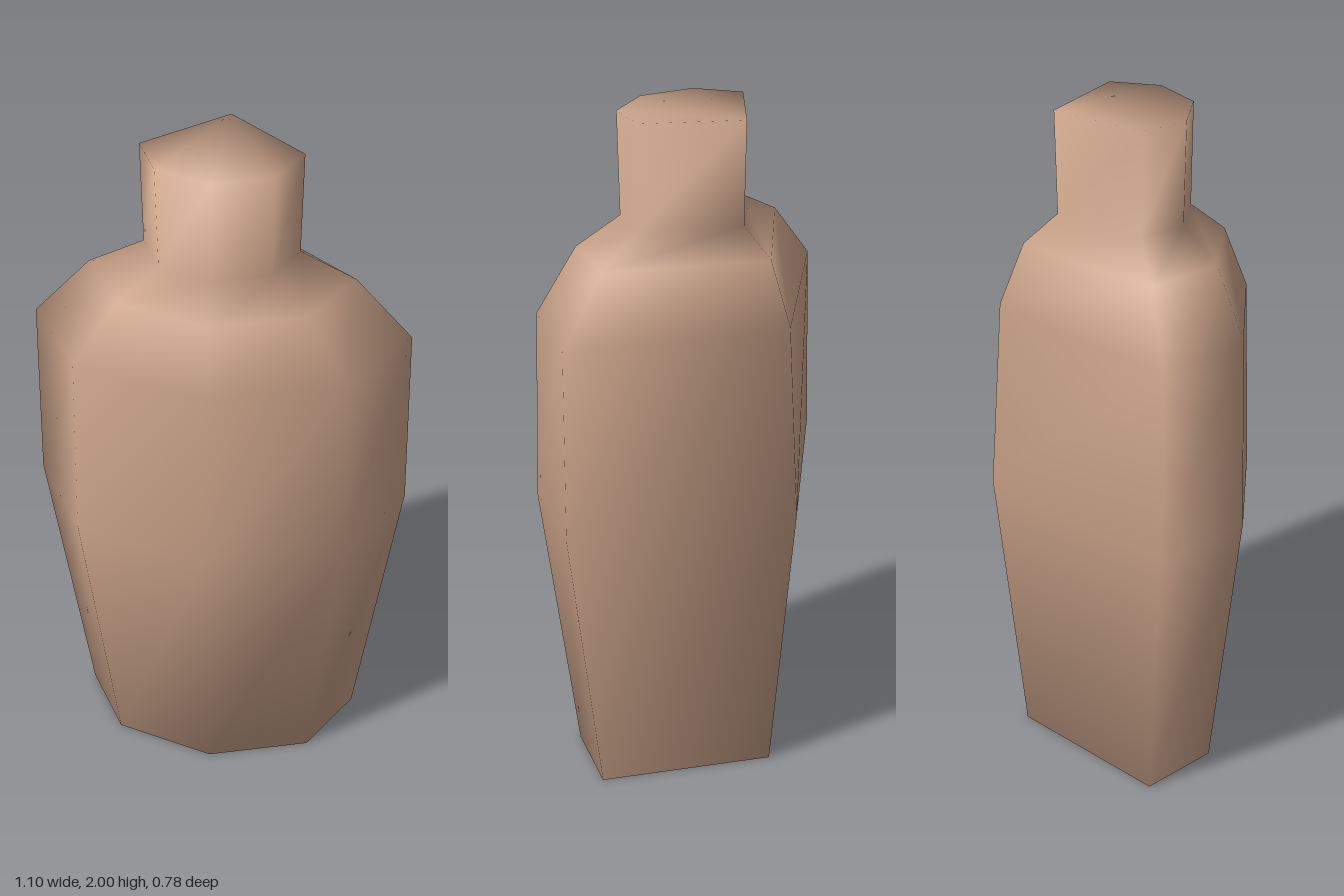
import * as THREE from 'three';

// Horizontal sections from foot to lip.
// side: half width and its z; corner: front corner x and z; front, back: z of the centre points
const sections = [
  { y: 0.0, side: [0.425, 0.0], corner: [0.3, 0.215], front: 0.305, back: -0.305 },
  { y: 0.87, side: [0.55, 0.0], corner: [0.39, 0.275], front: 0.39, back: -0.39 },
  { y: 1.44, side: [0.538, 0.005], corner: [0.38, 0.262], front: 0.37, back: -0.352 },
  { y: 1.62, side: [0.375, 0.008], corner: [0.265, 0.213], front: 0.3, back: -0.28 },
  { y: 1.7, side: [0.218, 0.01], corner: [0.155, 0.143], front: 0.2, back: -0.182 },
  { y: 2.0, side: [0.223, 0.01], corner: [0.16, 0.146], front: 0.203, back: -0.188 },
];

// Six-sided ring, counter-clockwise seen from above
function ring({ y, side, corner, front, back }) {
  return [
    [0, y, front],
    [corner[0], y, corner[1]],
    [side[0], y, side[1]],
    [0, y, back],
    [-side[0], y, side[1]],
    [-corner[0], y, corner[1]],
  ];
}

// Closed loft with shared vertices, so shading runs smoothly over every edge
function loft(rings) {
  const n = rings[0].length;
  const index = [];
  for (let r = 0; r < rings.length - 1; r++) {
    for (let i = 0; i < n; i++) {
      const j = (i + 1) % n;
      const a = r * n + i, b = r * n + j;
      index.push(a, b, b + n, a, b + n, a + n);
    }
  }
  // Foot and lip caps, fanned from the back point
  const top = (rings.length - 1) * n;
  for (let k = 1; k < n - 1; k++) {
    const p = (3 + k) % n, q = (4 + k) % n;
    index.push(3, q, p);
    index.push(top + 3, top + p, top + q);
  }
  const geometry = new THREE.BufferGeometry();
  geometry.setAttribute('position', new THREE.Float32BufferAttribute(rings.flat(2), 3));
  geometry.setIndex(index);
  geometry.computeVertexNormals();
  return geometry;
}

export function createModel() {
  const clay = new THREE.MeshStandardMaterial({ color: 0xcda58b });
  clay.name = 'clay';

  const model = new THREE.Group();
  model.name = 'vase';

  // Body, shoulder and neck in one smooth skin
  const body = new THREE.Mesh(loft(sections.map(ring)), clay);
  body.name = 'vaseBody';
  model.add(body);
  return model;
}
